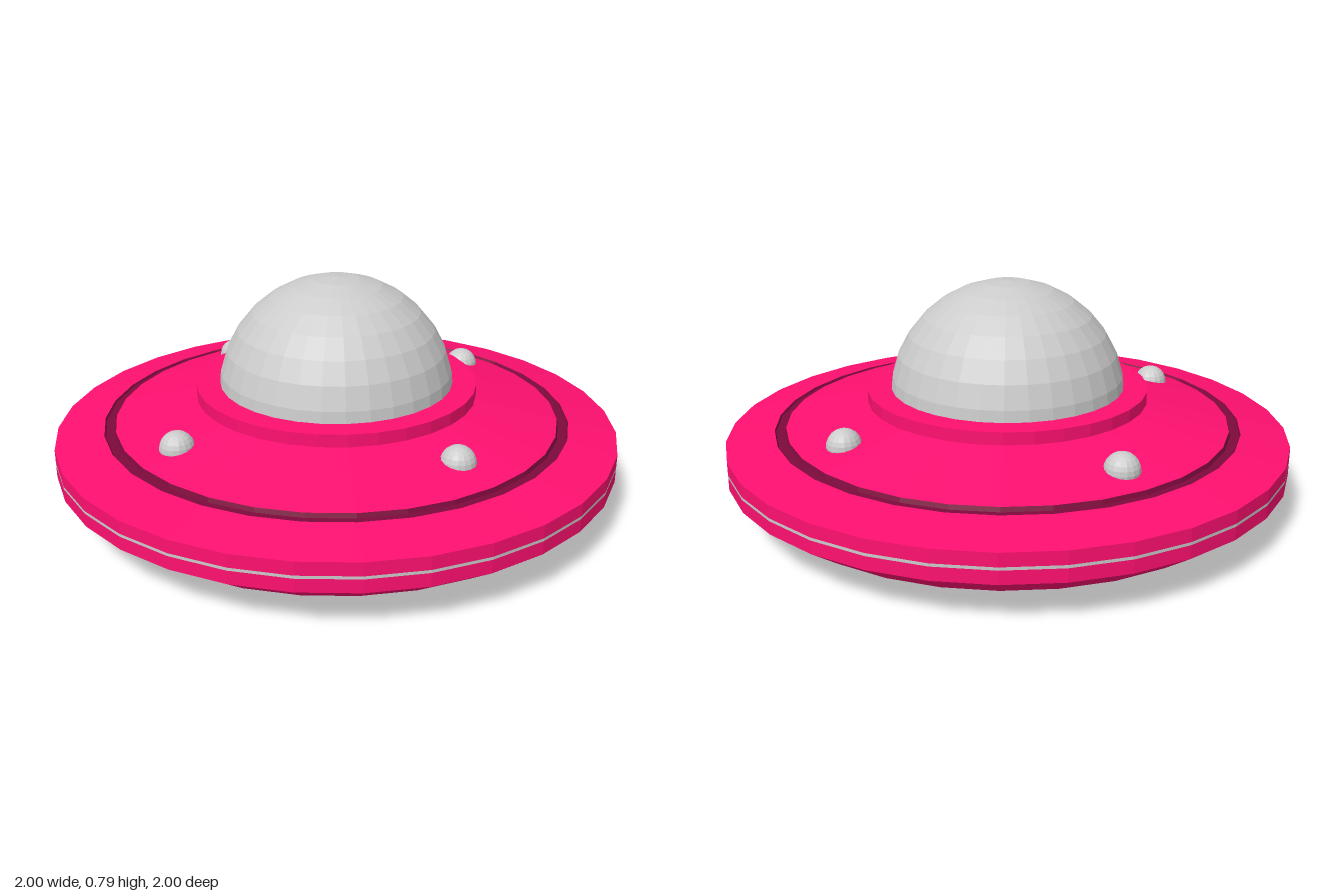
import * as THREE from 'three';

const SIDES = 32;
const paint = (color) => new THREE.MeshStandardMaterial({ color, flatShading: true });

export function createModel() {
  const saucer = new THREE.Group();
  saucer.name = 'flyingSaucer';
  const pink = paint(0xff1070);
  const dark = paint(0x7d0a3c);
  const grey = paint(0xcccccc);

  const add = (name, geometry, material, x = 0, y = 0, z = 0) => {
    const mesh = new THREE.Mesh(geometry, material);
    mesh.name = name;
    mesh.position.set(x, y, z);
    saucer.add(mesh);
  };
  // Profiles run outward along the underside, up the rim and inward over the top
  const turn = (name, material, profile) =>
    add(name, new THREE.LatheGeometry(profile.map(([r, y]) => new THREE.Vector2(r, y)), SIDES), material);

  // Underside with its round recess and inlaid ring
  turn('undersideRecess', pink, [[0, 0.15], [0.32, 0.15], [0.32, 0], [0.39, 0]]);
  turn('undersideRing', grey, [[0.39, 0], [0.415, 0]]);
  turn('lowerHull', pink, [[0.415, 0], [0.66, 0], [0.89, 0.07], [1, 0.15], [1, 0.195]]);

  // Rim stripe and upper hull, separated by a dark groove
  turn('rimStripe', grey, [[1, 0.195], [1, 0.205]]);
  turn('upperRim', pink, [[1, 0.205], [1, 0.25], [0.83, 0.282]]);
  turn('groove', dark, [[0.83, 0.282], [0.825, 0.275], [0.795, 0.275], [0.79, 0.29]]);
  turn('upperHull', pink, [[0.79, 0.29], [0.44, 0.366], [0.4, 0.37]]);

  // Collar and dome
  turn('domeCollar', pink, [[0.4, 0.368], [0.5, 0.368], [0.5, 0.412], [0.4, 0.412]]);
  add('dome', new THREE.SphereGeometry(0.42, SIDES, 8, 0, Math.PI * 2, 0, Math.PI / 2), grey, 0, 0.37, 0);

  // Four lamps, their circle set slightly off centre
  const lamp = new THREE.SphereGeometry(0.06, 16, 12);
  for (let i = 0; i < 4; i++) {
    const a = (i * Math.PI) / 2;
    add('lamp', lamp, grey, -0.02 + 0.65 * Math.cos(a), 0.313, 0.65 * Math.sin(a));
  }
  return saucer;
}
